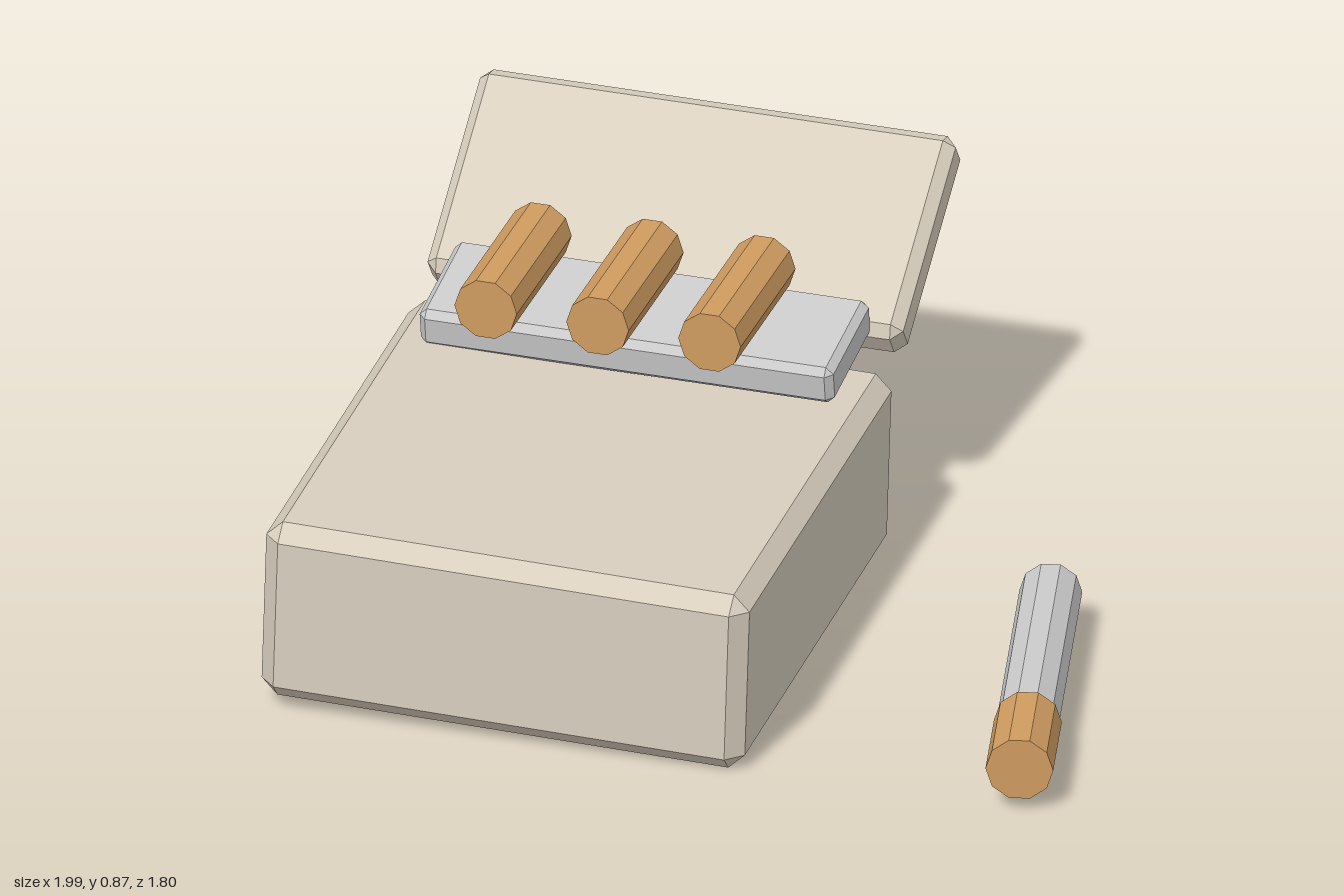
import * as THREE from 'three';
import { ConvexGeometry } from 'three/addons/geometries/ConvexGeometry.js';

const material = (color) => new THREE.MeshStandardMaterial({ color, flatShading: true });

// Box with chamfered edges: three points per corner, wrapped in a hull
function chamferBox(w, h, d, c) {
  const points = [];
  for (const x of [-1, 1]) for (const y of [-1, 1]) for (const z of [-1, 1]) {
    for (let full = 0; full < 3; full++) {
      const inset = [c, c, c];
      inset[full] = 0;
      points.push(new THREE.Vector3(
        x * (w / 2 - inset[0]), y * (h / 2 - inset[1]), z * (d / 2 - inset[2])));
    }
  }
  return new ConvexGeometry(points);
}

// Ten-sided rod along z, from z0 to z1
function rod(radius, z0, z1) {
  return new THREE.CylinderGeometry(radius, radius, z1 - z0, 10)
    .rotateY(Math.PI / 2)
    .rotateX(Math.PI / 2)
    .translate(0, 0, (z0 + z1) / 2);
}

export function createModel() {
  const model = new THREE.Group();
  const card = material(0xd8cfbe);
  const foil = material(0xdde0e0);
  const cork = material(0xd09c60);

  function add(name, geometry, mat, position, parent = model) {
    const mesh = new THREE.Mesh(geometry, mat);
    mesh.name = name;
    mesh.position.set(...position);
    parent.add(mesh);
    return mesh;
  }

  // Carton, sitting slightly crooked
  const carton = add('carton', chamferBox(1.2, 0.465, 1.28, 0.04), card, [-0.38, 0.25, 0.253]);
  carton.rotation.set(0, 0.025, -0.03);

  // Open lid, tilted back
  const lid = add('lid', chamferBox(1.19, 0.116, 0.557, 0.027), card, [-0.377, 0.673, -0.652]);
  lid.rotation.x = 0.62;

  // Foil liner flap
  const liner = add('foilLiner', chamferBox(1.035, 0.102, 0.315, 0.018), foil, [-0.378, 0.56, -0.273]);
  liner.rotation.x = 0.157;

  // Row of filter tips
  for (const x of [-0.66, -0.38, -0.1]) {
    add('filterTip', rod(0.078, -0.338, 0.09), cork, [x, 0.727, 0]);
  }

  // Loose cigarette lying beside the carton
  const cigarette = new THREE.Group();
  cigarette.name = 'looseCigarette';
  cigarette.position.set(0.703, 0.11, -0.07);
  cigarette.rotation.y = 0.23;
  add('paper', rod(0.075, 0, 0.69), foil, [0, 0, 0], cigarette);
  add('filter', rod(0.081, 0.68, 0.933), cork, [0, 0, 0], cigarette);
  model.add(cigarette);

  return model;
}
